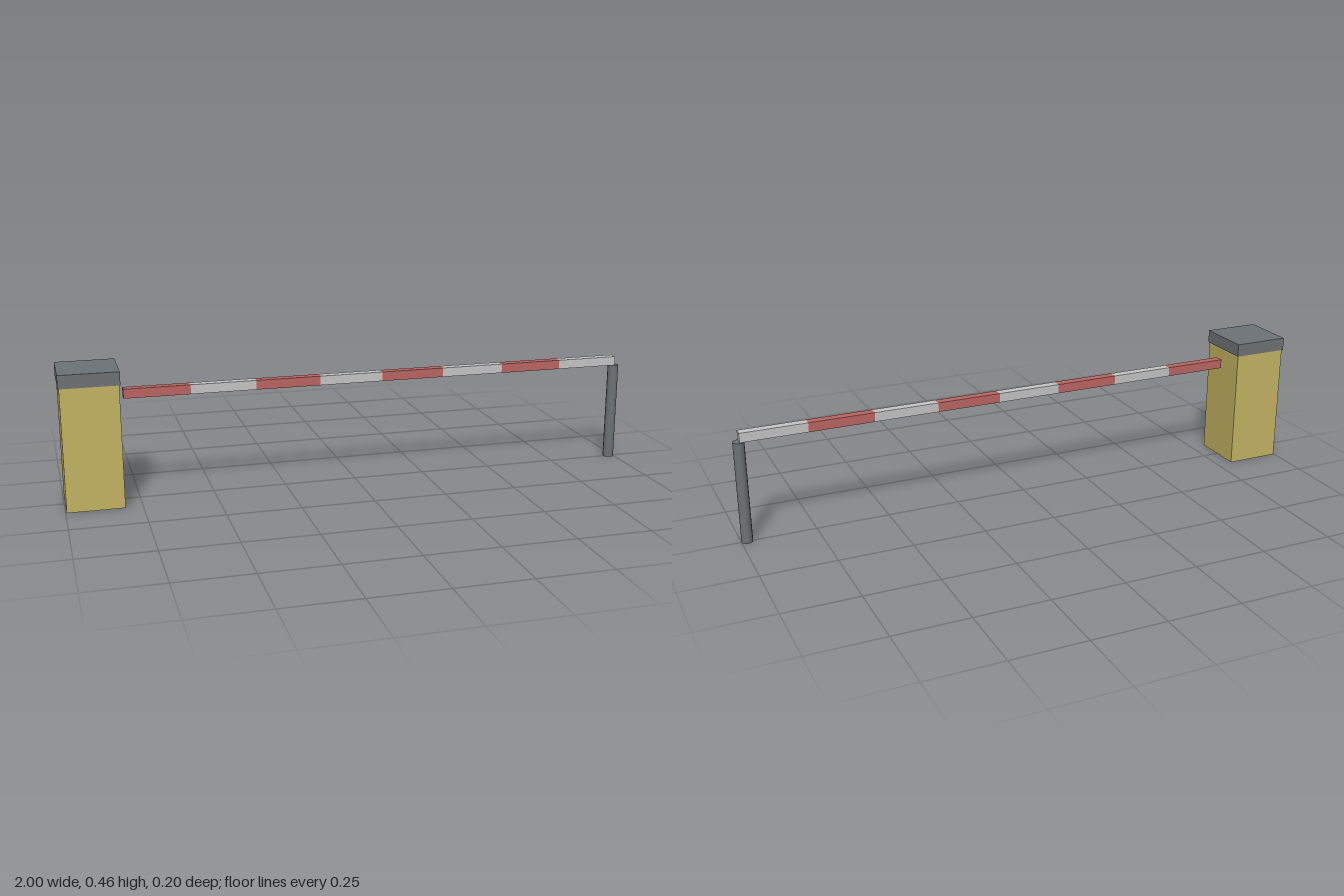
import * as THREE from 'three';

function material(name, color) {
  const m = new THREE.MeshStandardMaterial({ color });
  m.name = name;
  return m;
}

export function createModel() {
  const yellow = material('cabinetYellow', 0xc5b463);
  const grey = material('steelGrey', 0x6e7377);
  const red = material('stripeRed', 0xbb6663);
  const white = material('stripeWhite', 0xc5c6c5);

  const model = new THREE.Group();
  model.name = 'barrierGate';

  const add = (name, geometry, mat, x, y, parent = model) => {
    const mesh = new THREE.Mesh(geometry, mat);
    mesh.name = name;
    mesh.position.set(x, y, 0);
    parent.add(mesh);
  };

  // Drive cabinet with its slightly overhanging lid
  const cabinetX = -0.902;
  add('cabinet', new THREE.BoxGeometry(0.189, 0.415, 0.189), yellow, cabinetX, 0.2075);
  add('cabinetLid', new THREE.BoxGeometry(0.196, 0.045, 0.196), grey, cabinetX, 0.4375);

  // Boom: eight equal bands, alternating red and white
  const boom = new THREE.Group();
  boom.name = 'boom';
  model.add(boom);
  const start = -0.79, bands = 8, length = 1.77 / bands;
  const bandGeometry = new THREE.BoxGeometry(length, 0.032, 0.031);
  for (let i = 0; i < bands; i++) {
    add(i % 2 ? 'whiteBand' : 'redBand', bandGeometry, i % 2 ? white : red,
      start + (i + 0.5) * length, 0.365, boom);
  }

  // Rest post under the free end of the boom
  add('restPost', new THREE.CylinderGeometry(0.019, 0.019, 0.348, 12), grey, 0.981, 0.174);

  return model;
}
